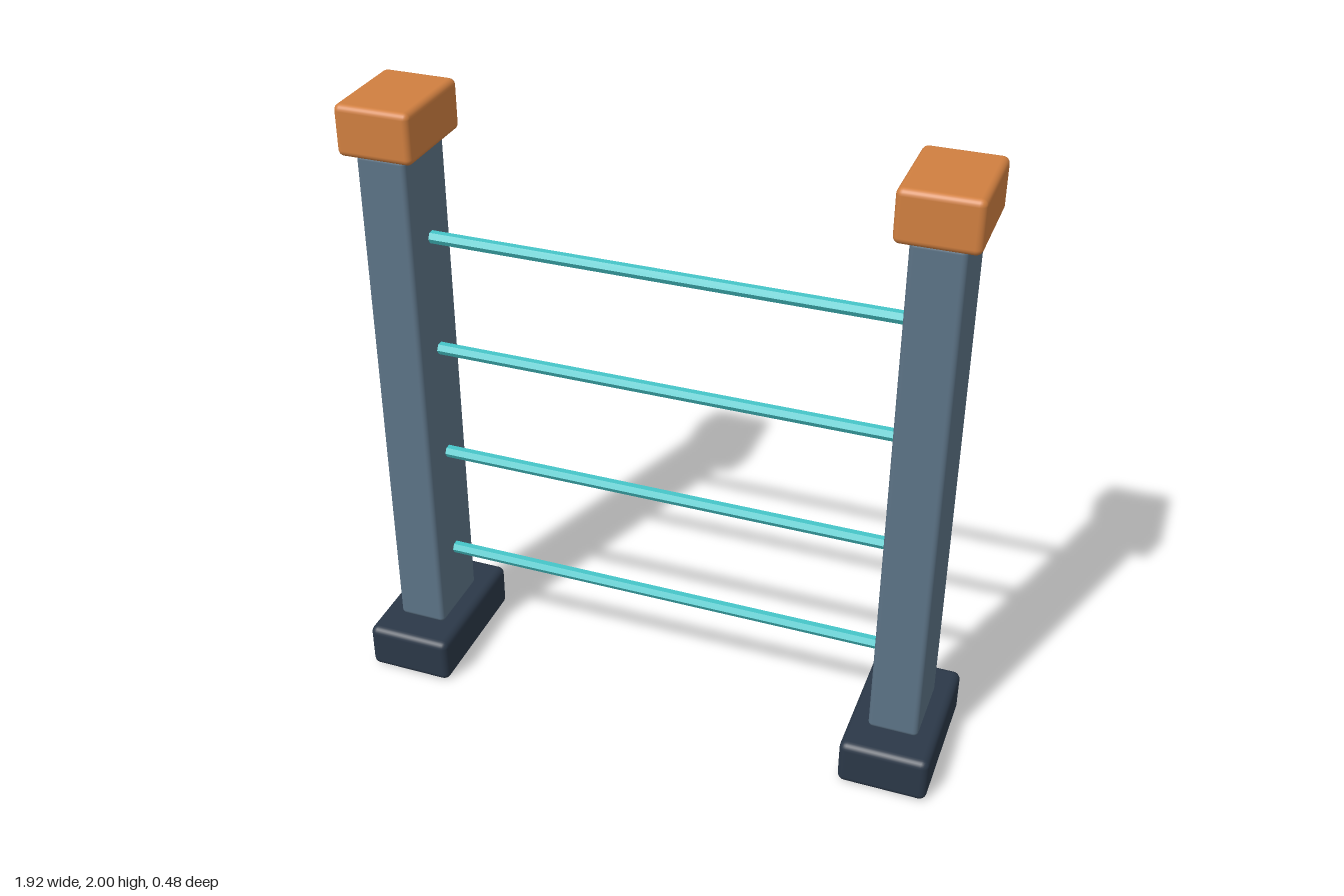
import * as THREE from 'three';
import { RoundedBoxGeometry } from 'three/addons/geometries/RoundedBoxGeometry.js';

const paint = (color, flatShading = false) => new THREE.MeshStandardMaterial({ color, flatShading });

export function createModel() {
  const model = new THREE.Group();
  const slate = paint(0x5c7386);
  const navy = paint(0x2b3848);
  const orange = paint(0xd07f40);
  const teal = paint(0x45c5c8, true);

  // Rounded block standing on height y
  const addBlock = (parent, name, [w, h, d], y, radius, material) => {
    const mesh = new THREE.Mesh(new RoundedBoxGeometry(w, h, d, 3, radius), material);
    mesh.name = name;
    mesh.position.y = y + h / 2;
    parent.add(mesh);
  };

  // Two uprights, each with a foot and a cap
  for (const side of [-1, 1]) {
    const upright = new THREE.Group();
    upright.name = side > 0 ? 'leftUpright' : 'rightUpright';
    upright.position.x = side * 0.82;
    addBlock(upright, 'foot', [0.285, 0.155, 0.48], 0, 0.024, navy);
    addBlock(upright, 'post', [0.16, 1.69, 0.25], 0.15, 0.016, slate);
    addBlock(upright, 'cap', [0.24, 0.16, 0.32], 1.84, 0.02, orange);
    model.add(upright);
  }

  // Four six-sided rails between the posts
  const railGeometry = new THREE.CylinderGeometry(0.02, 0.02, 1.5, 6).rotateZ(Math.PI / 2);
  for (let i = 0; i < 4; i++) {
    const rail = new THREE.Mesh(railGeometry, teal);
    rail.name = `rail${i + 1}`;
    rail.position.y = 0.388 + i * 0.386;
    model.add(rail);
  }
  return model;
}
